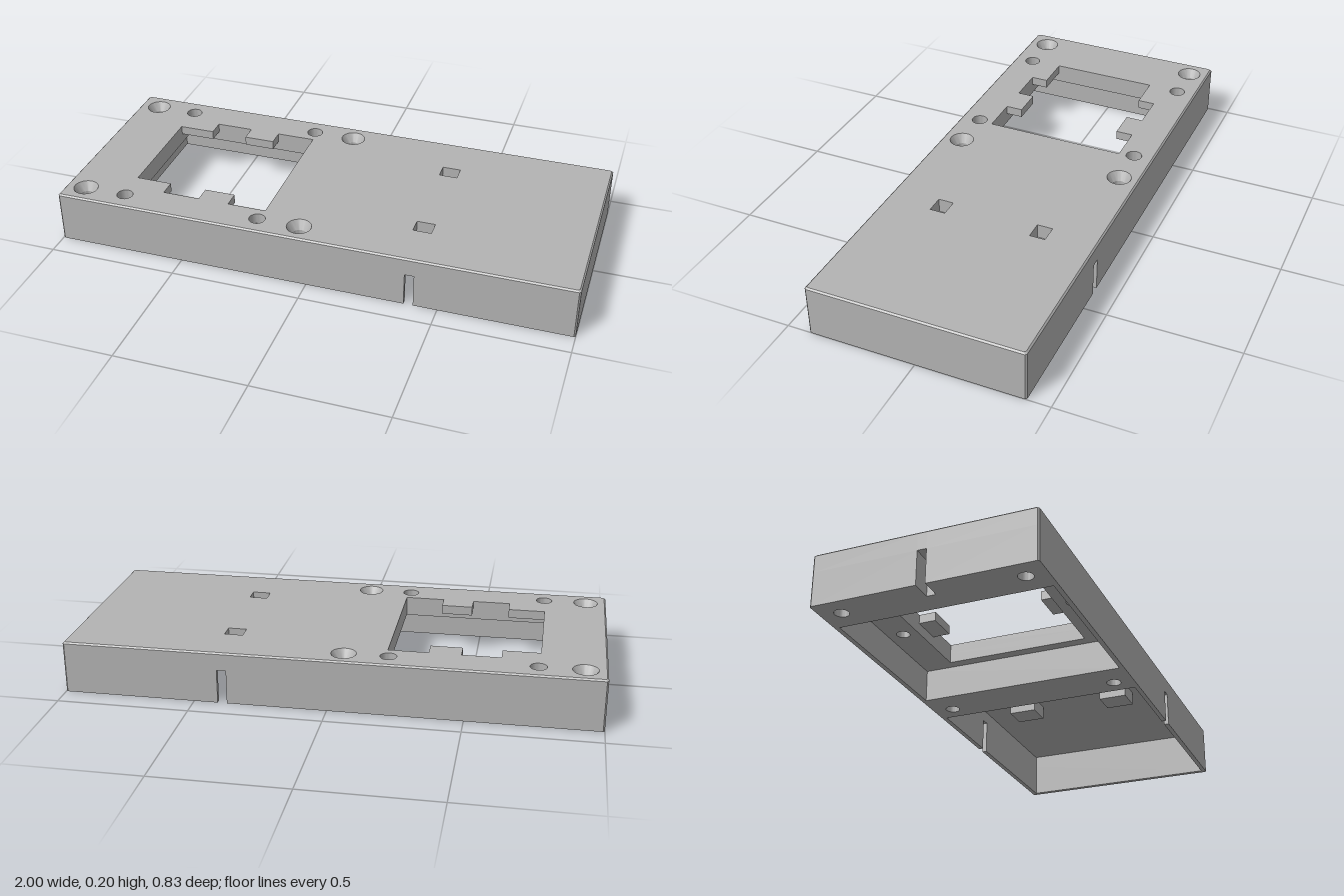
import * as THREE from 'three';
import { toCreasedNormals } from 'three/addons/utils/BufferGeometryUtils.js';

// Main dimensions
const TOP = 0.2, H = 0.413, h = 0.395, C = 0.006;       // height, half depth, inner half depth, bevel
const S0 = 0.375, S1 = 0.41, SLOT_Y = 0.13;             // side slots
const P0 = 0.02, P1 = 0.98, P_Y = 0.178;                // large pocket
const Q0 = -0.83, Q1 = -0.165, Q_Y = 0.125;             // small pocket
const W0 = -0.76, W1 = -0.205, TOOTH_Y = 0.165;         // window
const E = 0.017, E_X = -0.92;                           // end slot half width and depth

// Loops are lists of [x, z], ordered so that a band around them faces outward
const rect = (x0, x1, z0, z1) => [[x0, z1], [x1, z1], [x1, z0], [x0, z0]];
const circle = (x, z, r, n = 32) => Array.from({ length: n }, (_, i) => {
  const a = (i / n) * Math.PI * 2;
  return [x + r * Math.cos(a), z - r * Math.sin(a)];
});

export function createModel() {
  const model = new THREE.Group();
  model.name = 'enclosureCover';
  const grey = new THREE.MeshStandardMaterial({ color: 0xb3b3b3, side: THREE.DoubleSide });
  grey.name = 'grey plastic';

  const add = (name, geometry) => {
    const mesh = new THREE.Mesh(geometry, grey);
    mesh.name = name;
    model.add(mesh);
  };

  // Vertical (or sloping) wall around a loop
  function band(name, loop, y0, y1, { inward = false, skip = [], upper = loop, open = false } = {}) {
    const pos = [];
    const n = open ? loop.length - 1 : loop.length;
    for (let i = 0; i < n; i++) {
      if (skip.includes(i)) continue;
      const j = (i + 1) % loop.length;
      const a = [loop[i][0], y0, loop[i][1]], b = [loop[j][0], y0, loop[j][1]];
      const c = [upper[j][0], y1, upper[j][1]], d = [upper[i][0], y1, upper[i][1]];
      const tris = inward ? [a, c, b, a, d, c] : [a, b, c, a, c, d];
      tris.forEach((p) => pos.push(...p));
    }
    const g = new THREE.BufferGeometry();
    g.setAttribute('position', new THREE.Float32BufferAttribute(pos, 3));
    add(name, toCreasedNormals(g, 0.5));
  }

  // Horizontal face with holes
  function cap(name, outline, y, up, holes = []) {
    const s = up ? -1 : 1;
    const pts = (loop) => loop.map(([x, z]) => new THREE.Vector2(x, s * z));
    const shape = new THREE.Shape(pts(outline));
    shape.holes = holes.map((hole) => new THREE.Path(pts(hole)));
    add(name, new THREE.ShapeGeometry(shape).rotateX(s * Math.PI / 2).translate(0, y, 0));
  }

  // Outer walls with slot mouths, and bevelled top edge
  const outer = [[-1 + C, H], [S0, H], [S1, H], [1 - C, H], [1, H - C], [1, -H + C], [1 - C, -H],
    [S1, -H], [S0, -H], [-1 + C, -H], [-1, -H + C], [-1, -E], [-1, E], [-1, H - C]];
  const inset = outer.map(([x, z]) => [x * (1 - C), z * (1 - C / H)]);
  band('lowerOuterWall', outer, 0, SLOT_Y, { skip: [1, 7, 11] });
  band('upperOuterWall', outer, SLOT_Y, TOP - C);
  band('topBevel', outer, TOP - C, TOP, { upper: inset });

  // Slots through the long walls and the notch in the end
  for (const s of [1, -1]) {
    for (const x of [S0, S1]) {
      band('slotCheek', [[x, s * h], [x, s * H]], 0, SLOT_Y, { open: true, inward: (x === S0) === (s > 0) });
    }
    cap('slotRoof', rect(S0, S1, Math.min(s * h, s * H), Math.max(s * h, s * H)), SLOT_Y, false);
  }
  band('endSlotWall', [[-1, -E], [E_X, -E], [E_X, E], [-1, E]], 0, SLOT_Y, { open: true });
  cap('endSlotRoof', rect(-1, E_X, -E, E), SLOT_Y, false);

  // Large pocket
  const pocket = [[P0, h], [S0, h], [S1, h], [P1, h], [P1, -h], [S1, -h], [S0, -h], [P0, -h]];
  band('largePocketLowerWall', pocket, 0, SLOT_Y, { inward: true, skip: [1, 5] });
  band('largePocketUpperWall', pocket, SLOT_Y, P_Y, { inward: true });

  // Small pocket
  const smallPocket = rect(Q0, Q1, -h, h);
  band('smallPocketWall', smallPocket, 0, Q_Y, { inward: true });

  // Window with toothed upper edge
  const lowerWindow = rect(W0, W1, -0.276, 0.276);
  const backEdge = [[W0, -0.21], [-0.62, -0.21], [-0.62, -0.276], [-0.475, -0.276],
    [-0.475, -0.21], [-0.355, -0.21], [-0.355, -0.276], [W1, -0.276]];
  const frontEdge = backEdge.map(([x, z]) => [x, -z]);
  const window = [...frontEdge, ...backEdge.slice().reverse()];
  band('lowerWindowWall', lowerWindow, Q_Y, TOOTH_Y, { inward: true });
  band('toothedWindowWall', window, TOOTH_Y, TOP, { inward: true });
  for (const [x0, x1] of [[W0, -0.62], [-0.475, -0.355]]) {
    cap('toothUnderside', rect(x0, x1, -0.276, -0.21), TOOTH_Y, false);
    cap('toothUnderside', rect(x0, x1, 0.21, 0.276), TOOTH_Y, false);
  }

  const topHoles = [window], bottomHoles = [smallPocket], ceilingHoles = [lowerWindow], bossHoles = [];
  for (const z of [-0.335, 0.335]) {
    // Countersunk screw holes
    for (const x of [-0.92, -0.05]) {
      const shaft = circle(x, z, 0.027), sink = circle(x, z, 0.047);
      band('screwShaft', shaft, 0, 0.165, { inward: true });
      band('countersink', shaft, 0.165, TOP, { inward: true, upper: sink });
      topHoles.push(sink);
      bottomHoles.push(shaft);
    }
    // Blind round recesses in the top
    for (const x of [-0.755, -0.215]) {
      const recess = circle(x, z, 0.031);
      band('recessWall', recess, 0.16, TOP, { inward: true });
      cap('recessFloor', recess, 0.16, true);
      topHoles.push(recess);
    }
    // Blind hole from below beside the window
    const pilot = circle(-0.485, z, 0.025);
    band('pilotHoleWall', pilot, Q_Y, 0.17, { inward: true });
    cap('pilotHoleEnd', pilot, 0.17, false);
    ceilingHoles.push(pilot);
  }

  // Square sockets with bosses beneath
  for (const z of [-0.2, 0.2]) {
    const socket = rect(0.355, 0.425, z - 0.03, z + 0.03);
    const boss = rect(0.34, 0.44, z - 0.055, z + 0.055);
    band('socketWall', socket, 0.145, TOP, { inward: true });
    cap('socketFloor', socket, 0.145, true);
    band('bossWall', boss, 0.125, P_Y);
    cap('bossUnderside', boss, 0.125, false);
    topHoles.push(socket);
    bossHoles.push(boss);
  }

  // Horizontal faces
  cap('topFace', inset, TOP, true, topHoles);
  cap('largePocketCeiling', rect(P0, P1, -h, h), P_Y, false, bossHoles);
  cap('smallPocketCeiling', smallPocket, Q_Y, false, ceilingHoles);
  cap('bottomFace', [[-1 + C, H], [S0, H], [S0, h], [P0, h], [P0, -h], [S0, -h], [S0, -H], [-1 + C, -H],
    [-1, -H + C], [-1, -E], [E_X, -E], [E_X, E], [-1, E], [-1, H - C]], 0, false, bottomHoles);
  cap('bottomRim', [[S1, H], [1 - C, H], [1, H - C], [1, -H + C], [1 - C, -H], [S1, -H],
    [S1, -h], [P1, -h], [P1, h], [S1, h]], 0, false);

  return model;
}
